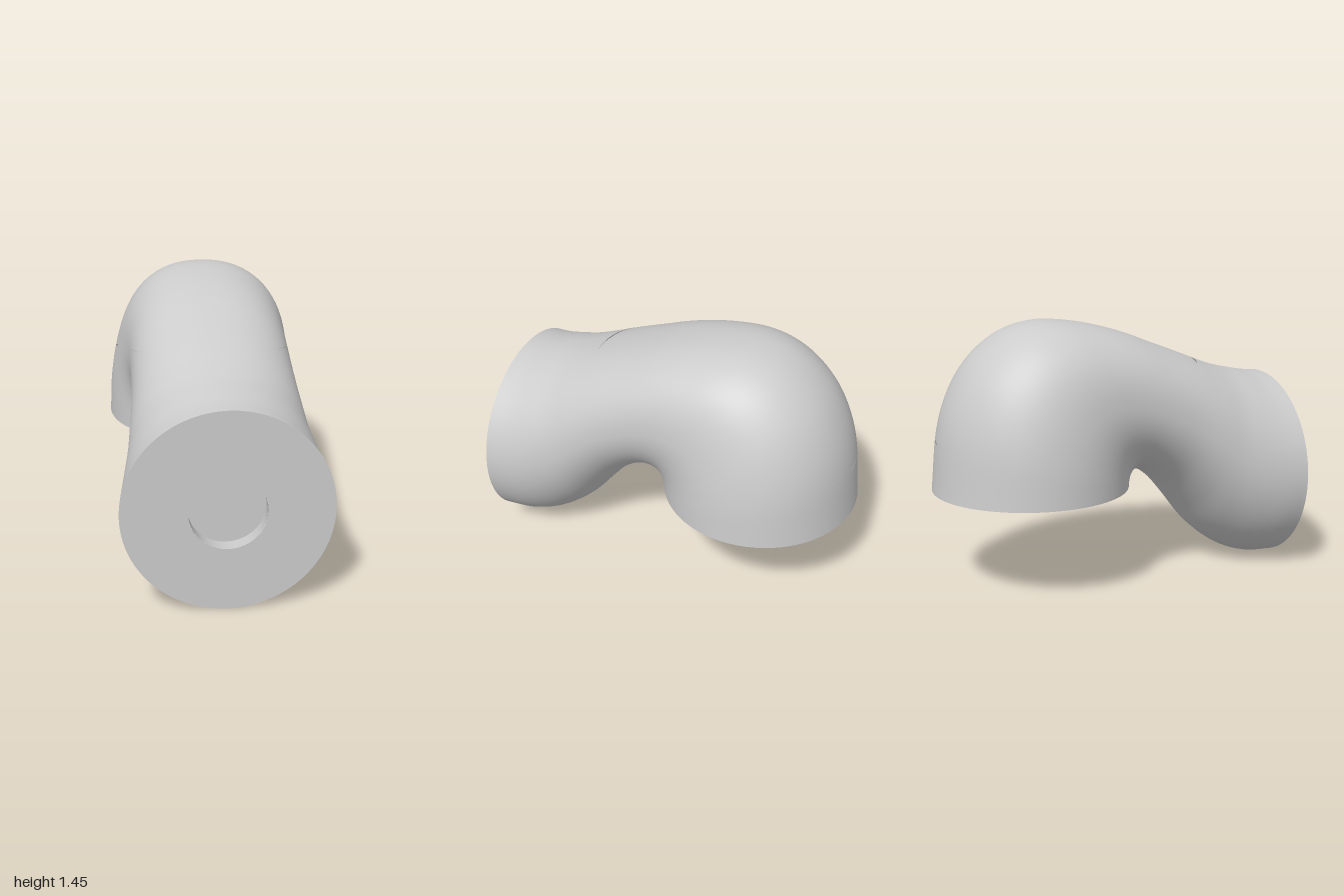
import * as THREE from 'three';

const RADIUS = 0.54, PORT = 0.2, DEPTH = 0.08, REAR_Z = -0.46;
const ROWS = 84, COLS = 72;

// Cross-sections along the elbow: top z, top y, bottom z, bottom y, half width
const stations = [
  [1, 1.08, 1, 0, 0.54],
  [0.9, 1.09, 0.85, 0.01, 0.525],
  [0.8, 1.11, 0.7, 0.07, 0.505],
  [0.69, 1.135, 0.55, 0.19, 0.48],
  [0.57, 1.175, 0.43, 0.34, 0.462],
  [0.42, 1.235, 0.32, 0.47, 0.445],
  [0.25, 1.3, 0.23, 0.545, 0.437],
  [0.05, 1.375, 0.165, 0.58, 0.435],
  [-0.17, 1.43, 0.13, 0.585, 0.44],
  [-0.4, 1.45, 0.112, 0.582, 0.455],
  [-0.6, 1.4, 0.1, 0.575, 0.475],
  [-0.77, 1.275, 0.093, 0.568, 0.497],
  [-0.89, 1.1, 0.087, 0.56, 0.517],
  [-0.965, 0.87, 0.083, 0.55, 0.532],
  [-1, 0.54, 0.08, 0.54, 0.54],
];

// Loft through the stations; the crown is slightly squarer than an ellipse
function loftElbow() {
  const curve = (f) => new THREE.CatmullRomCurve3(stations.map(f), false, 'catmullrom', 0.5);
  const top = curve(([z, y, , , w]) => new THREE.Vector3(w, y, z));
  const bottom = curve(([, , z, y]) => new THREE.Vector3(0, y, z));
  const positions = [], index = [];
  for (let i = 0; i <= ROWS; i++) {
    const t = i / ROWS, a = top.getPoint(t), b = bottom.getPoint(t);
    const power = 2 + 0.35 * Math.sin(Math.PI * t) ** 2;
    for (let j = 0; j < COLS; j++) {
      const u = (j / COLS) * Math.PI * 2;
      let c = Math.cos(u), s = Math.sin(u);
      if (c > 0) {
        c = c ** (2 / power);
        s = Math.sign(s) * Math.abs(s) ** (2 / power);
      }
      const k = (1 + c) / 2;
      positions.push(a.x * s, b.y + (a.y - b.y) * k, b.z + (a.z - b.z) * k);
      if (i < ROWS) {
        const n = (j + 1) % COLS, r = i * COLS, q = r + COLS;
        index.push(r + j, r + n, q + n, r + j, q + n, q + j);
      }
    }
  }
  const geometry = new THREE.BufferGeometry();
  geometry.setAttribute('position', new THREE.Float32BufferAttribute(positions, 3));
  geometry.setIndex(index);
  geometry.computeVertexNormals();
  return geometry;
}

// Keep the part of a geometry on the positive side of a plane
function clip(geometry, plane) {
  const source = geometry.index ? geometry.toNonIndexed() : geometry;
  const p = source.attributes.position, n = source.attributes.normal;
  const positions = [], normals = [];
  for (let i = 0; i < p.count; i += 3) {
    const corners = [0, 1, 2].map((k) => {
      const v = new THREE.Vector3().fromBufferAttribute(p, i + k);
      return { v, n: new THREE.Vector3().fromBufferAttribute(n, i + k), d: plane.distanceToPoint(v) };
    });
    const kept = [];
    corners.forEach((a, k) => {
      const b = corners[(k + 1) % 3];
      if (a.d >= 0) kept.push(a);
      if (a.d >= 0 !== b.d >= 0) {
        const t = a.d / (a.d - b.d);
        kept.push({ v: a.v.clone().lerp(b.v, t), n: a.n.clone().lerp(b.n, t).normalize() });
      }
    });
    for (let k = 1; k + 1 < kept.length; k++) {
      for (const c of [kept[0], kept[k], kept[k + 1]]) {
        positions.push(...c.v.toArray());
        normals.push(...c.n.toArray());
      }
    }
  }
  const result = new THREE.BufferGeometry();
  result.setAttribute('position', new THREE.Float32BufferAttribute(positions, 3));
  result.setAttribute('normal', new THREE.Float32BufferAttribute(normals, 3));
  return result;
}

// Copy of a surface moved inward along its normals
function inset(geometry, amount) {
  const result = geometry.clone();
  const p = result.attributes.position, n = result.attributes.normal;
  for (let i = 0; i < p.count; i++) {
    p.setXYZ(i, p.getX(i) - n.getX(i) * amount, p.getY(i) - n.getY(i) * amount, p.getZ(i) - n.getZ(i) * amount);
  }
  return result;
}

export function createModel() {
  const group = new THREE.Group();
  const grey = new THREE.MeshStandardMaterial({ color: 0xcccccc });
  const twoSided = new THREE.MeshStandardMaterial({ color: 0xcccccc, side: THREE.DoubleSide });
  const inside = new THREE.MeshStandardMaterial({ color: 0xcccccc, side: THREE.BackSide });
  const add = (name, geometry, material = grey) => {
    const mesh = new THREE.Mesh(geometry, material);
    mesh.name = name;
    group.add(mesh);
    return mesh;
  };

  // Elbow split by a sloping parting line into body and cover
  const elbow = loftElbow();
  const up = new THREE.Vector3(0, 1, -0.2635).normalize();
  const seamPoint = new THREE.Vector3(0, 1.2, 0.5);
  const cut = (side, gap) => new THREE.Plane().setFromNormalAndCoplanarPoint(
    up.clone().multiplyScalar(side), seamPoint.clone().addScaledVector(up, side * gap));
  add('elbowBody', clip(elbow, cut(-1, 0.004)), twoSided);
  add('elbowCover', clip(elbow, cut(1, 0.004)), twoSided);
  add('seamGroove', clip(clip(inset(elbow, 0.01), cut(1, -0.02)), cut(-1, -0.02)), twoSided);

  // Front flange with a round recess
  const ring = new THREE.Shape().absarc(0, 0, RADIUS, 0, Math.PI * 2, false);
  ring.holes.push(new THREE.Path().absarc(0, 0, PORT, 0, Math.PI * 2, true));
  add('frontFlange', new THREE.ShapeGeometry(ring, 36)).position.set(0, RADIUS, 1);
  const wall = new THREE.CylinderGeometry(PORT, PORT, DEPTH, 36, 1, true).rotateX(Math.PI / 2);
  add('recessWall', wall, inside).position.set(0, RADIUS, 1 - DEPTH / 2);
  add('recessFloor', new THREE.CircleGeometry(PORT, 36)).position.set(0, RADIUS, 1 - DEPTH);

  // Underside flange with its locating peg
  add('lowerFlange', new THREE.CircleGeometry(RADIUS, COLS).rotateX(Math.PI / 2)).position.set(0, RADIUS, REAR_Z);
  add('locatingPeg', new THREE.CylinderGeometry(PORT, PORT, DEPTH, 18)).position.set(0, RADIUS - DEPTH / 2, REAR_Z);

  return group;
}
